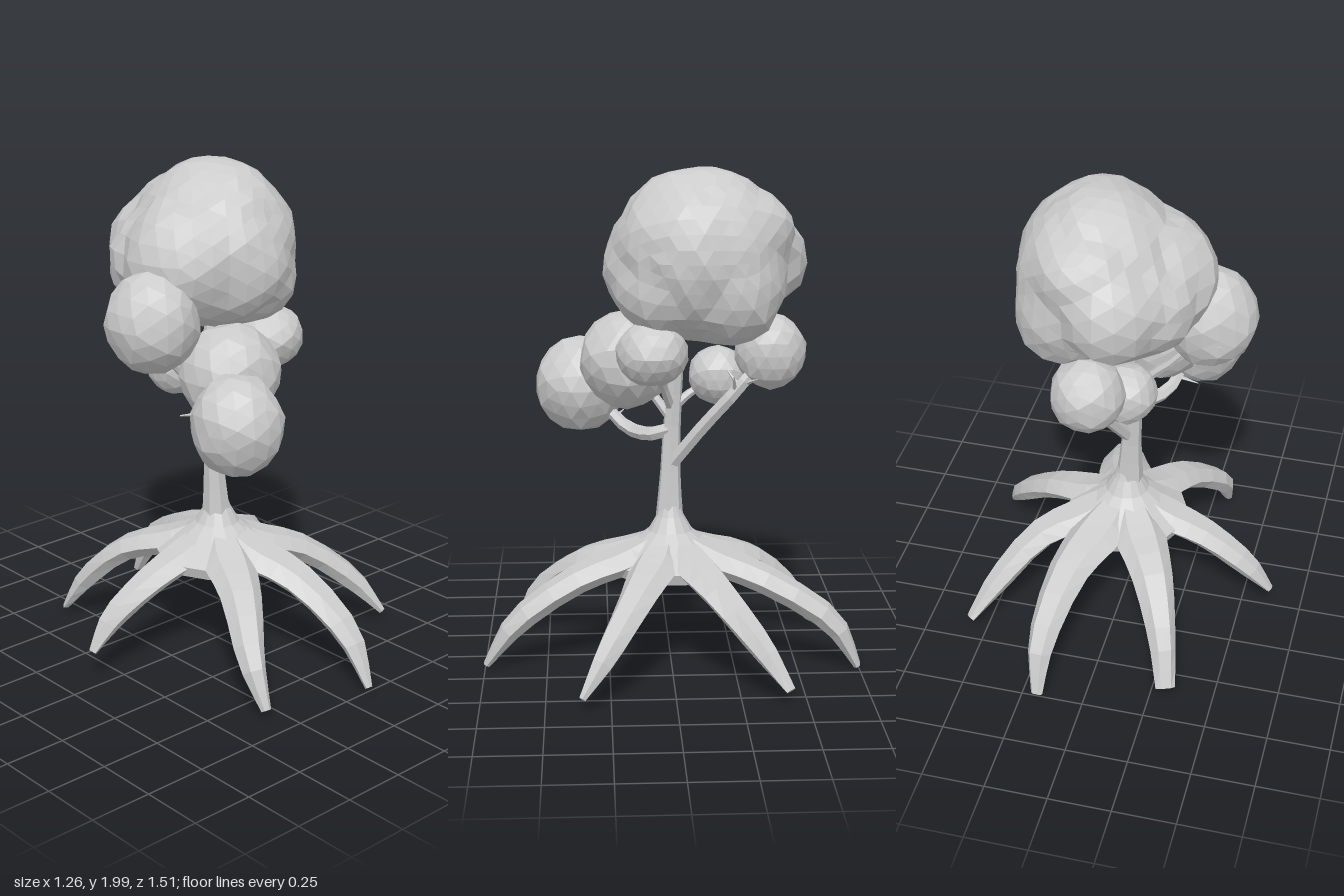
import * as THREE from 'three';

const V = (x, y, z) => new THREE.Vector3(x, y, z);
const mat = new THREE.MeshStandardMaterial({ color: 0xcccccc, flatShading: true, side: THREE.DoubleSide });

function add(group, name, geometry) {
  const mesh = new THREE.Mesh(geometry, mat);
  mesh.name = name;
  group.add(mesh);
}

// linear lookup in a short list of values, u = 0..1
function lerpList(list, u) {
  const f = u * (list.length - 1);
  const i = Math.min(Math.floor(f), list.length - 2);
  return THREE.MathUtils.lerp(list[i], list[i + 1], f - i);
}

// tapered limb: oval cross-sections swept along a smooth path
function limb(points, widths, heights, segs = 9, sides = 6) {
  const curve = new THREE.CatmullRomCurve3(points);
  const ends = points[points.length - 1].clone().sub(points[0]);
  const across = V(-ends.z, 0, ends.x).normalize();
  const pos = [], idx = [];
  for (let i = 0; i <= segs; i++) {
    const u = i / segs, p = curve.getPoint(u), t = curve.getTangent(u);
    const side = across.clone().addScaledVector(t, -across.dot(t)).normalize();
    const up = side.clone().cross(t).normalize();
    for (let k = 0; k < sides; k++) {
      const a = (k / sides) * Math.PI * 2;
      const q = p.clone()
        .addScaledVector(side, Math.cos(a) * lerpList(widths, u) / 2)
        .addScaledVector(up, Math.sin(a) * lerpList(heights, u) / 2);
      pos.push(q.x, q.y, q.z);
      if (i < segs) {
        const b = i * sides + k, c = i * sides + (k + 1) % sides;
        idx.push(b, b + sides, c, c, b + sides, c + sides);
      }
    }
  }
  // end caps
  for (let k = 1; k < sides - 1; k++) {
    const e = segs * sides;
    idx.push(0, k, k + 1, e, e + k + 1, e + k);
  }
  const g = new THREE.BufferGeometry();
  g.setAttribute('position', new THREE.Float32BufferAttribute(pos, 3));
  g.setIndex(idx);
  g.computeVertexNormals();
  return g;
}

// lumpy foliage: rays from the first lobe reach the farthest lobe surface
// lobe = [x, y, z, rx, ry, rz]
function foliage(lobes, detail, seed, rough) {
  const g = new THREE.IcosahedronGeometry(1, detail);
  const p = g.attributes.position, d = new THREE.Vector3();
  const [cx, cy, cz] = lobes[0];
  for (let i = 0; i < p.count; i++) {
    d.fromBufferAttribute(p, i).normalize();
    let reach = 0;
    for (const [x, y, z, rx, ry, rz] of lobes) {
      const o = V((cx - x) / rx, (cy - y) / ry, (cz - z) / rz);
      const e = V(d.x / rx, d.y / ry, d.z / rz);
      const a = e.dot(e), b = o.dot(e), c = o.dot(o) - 1;
      const disc = b * b - a * c;
      if (disc > 0) reach = Math.max(reach, (-b + Math.sqrt(disc)) / a);
    }
    const n = Math.sin(d.x * 5.3 + seed) * Math.sin(d.y * 6.1 + seed * 2) + Math.sin(d.z * 7.7 + d.x * 3 + seed * 3) * 0.5
      + Math.sin(d.x * 19 + d.y * 23 + d.z * 17 + seed) * 0.7;
    reach *= 1 + rough * n;
    p.setXYZ(i, cx + d.x * reach, cy + d.y * reach, cz + d.z * reach);
  }
  g.computeVertexNormals();
  return g;
}

export function createModel() {
  const tree = new THREE.Group();
  tree.name = 'tree';

  // trunk, slightly leaning
  add(tree, 'trunk', limb([V(-0.005, 0.5, 0.005), V(-0.015, 0.75, 0), V(-0.025, 1.0, -0.01), V(0, 1.42, -0.04)],
    [0.13, 0.085, 0.07, 0.05], [0.13, 0.085, 0.07, 0.05], 8, 7));

  // flared web joining the roots, closed underneath
  const flare = [[0.03, 0.66], [0.055, 0.6], [0.09, 0.54], [0.16, 0.485], [0.25, 0.42], [0.235, 0.375], [0.001, 0.37]];
  add(tree, 'rootFlare', new THREE.LatheGeometry(flare.map(([r, y]) => new THREE.Vector2(r, y)).reverse(), 14));

  // arching roots: [mid x, z], [knee x, z], [tip x, y, z], width scale, tip width
  const roots = [
    [[-0.19, -0.34], [-0.27, -0.51], [-0.31, 0.04, -0.615], 0.95, 0.08],
    [[0.15, -0.38], [0.195, -0.64], [0.19, 0.015, -0.745], 1, 0.05],
    [[0.32, -0.18], [0.47, -0.33], [0.565, 0.06, -0.435], 0.9, 0.05],
    [[0.34, 0.14], [0.53, 0.265], [0.615, 0.06, 0.36], 0.9, 0.03],
    [[0.105, 0.38], [0.14, 0.62], [0.13, 0.02, 0.745], 1.05, 0.03],
    [[-0.18, 0.34], [-0.3, 0.53], [-0.315, 0.035, 0.63], 0.95, 0.04],
    [[-0.34, -0.02], [-0.52, -0.04], [-0.625, 0.135, -0.04], 0.85, 0.035],
  ];
  for (const [m, k, t, s, tip] of roots) {
    const l = Math.hypot(m[0], m[1]);
    const low = t[1] > 0.1 ? 0.05 : 0;
    add(tree, 'root', limb(
      [V(m[0] / l * 0.06, 0.475, m[1] / l * 0.06), V(m[0] / 2, 0.43, m[1] / 2), V(m[0], 0.365, m[1]), V(k[0], 0.2 + low, k[1]), V(...t)],
      [0.15 * s, 0.23 * s, 0.175 * s, 0.115 * s, tip], [0.13, 0.11, 0.105, 0.1, 0.03], 10, 6));
  }

  // branches reaching into the foliage
  const branches = [
    [V(-0.015, 0.8, 0), V(0.055, 0.98, -0.13), V(0.11, 1.15, -0.27), V(0.08, 1.27, -0.37)],
    [V(-0.02, 0.95, 0), V(-0.05, 0.925, 0.08), V(-0.13, 0.935, 0.17), V(-0.2, 1.06, 0.3)],
    [V(-0.02, 1.02, 0), V(-0.1, 1.13, -0.01), V(-0.2, 1.23, -0.02), V(-0.3, 1.38, -0.01)],
    [V(-0.01, 1.05, 0), V(0.06, 1.14, 0.03), V(0.12, 1.19, 0.05), V(0.2, 1.28, 0.08)],
    [V(-0.02, 1.0, 0), V(-0.04, 1.08, 0.06), V(-0.06, 1.14, 0.11), V(-0.09, 1.2, 0.17)],
    [V(-0.02, 1.02, 0), V(-0.03, 1.08, -0.06), V(-0.04, 1.12, -0.12), V(-0.05, 1.16, -0.18)],
  ];
  branches.forEach((pts, i) => {
    const w = i < 2 ? [0.06, 0.06, 0.055, 0.035] : [0.04, 0.036, 0.03, 0.02];
    add(tree, 'branch', limb(pts, w, w, 7, 6));
  });

  // little twigs poking out below the leaf clumps
  const twigs = [
    [V(0.1, 1.12, -0.25), V(0.17, 1.2, -0.24)], [V(0.1, 1.14, -0.27), V(0.07, 1.21, -0.22)],
    [V(0.11, 1.16, -0.29), V(0.18, 1.19, -0.33)], [V(-0.16, 0.97, 0.22), V(-0.25, 0.98, 0.18)],
    [V(-0.3, 1.13, 0.25), V(-0.41, 1.15, 0.25)], [V(-0.33, 1.4, -0.1), V(-0.41, 1.42, -0.18)],
  ];
  for (const pts of twigs) add(tree, 'twig', limb(pts, [0.022, 0.005], [0.022, 0.005], 1, 4));

  // main crown with its side lobes
  add(tree, 'crown', foliage([
    [0.075, 1.665, -0.11, 0.312, 0.335, 0.345],
    [-0.12, 1.63, -0.05, 0.24, 0.25, 0.245],
    [-0.1, 1.6, -0.2, 0.22, 0.21, 0.22],
    [-0.03, 1.63, -0.345, 0.18, 0.19, 0.195],
    [0.08, 1.76, -0.29, 0.2, 0.16, 0.19],
    [0.04, 1.63, 0.03, 0.24, 0.25, 0.235],
    [0.14, 1.55, 0.04, 0.19, 0.19, 0.19],
    [0.14, 1.56, -0.23, 0.23, 0.24, 0.21],
  ], 5, 1.3, 0.018));

  // smaller leaf clumps
  const clumps = [
    [-0.33, 1.44, 0, 0.183, 0.205, 0.18],
    [-0.085, 1.225, 0.17, 0.203, 0.198, 0.187],
    [-0.222, 1.098, 0.357, 0.177, 0.2, 0.182],
    [0.2, 1.3, 0.08, 0.142, 0.127, 0.142],
    [0.055, 1.28, -0.39, 0.142, 0.15, 0.142],
    [-0.045, 1.165, -0.195, 0.12, 0.12, 0.12],
  ];
  clumps.forEach((c, i) => add(tree, 'leafClump', foliage([c], 2, i * 1.7 + 0.4, 0.025)));

  return tree;
}
